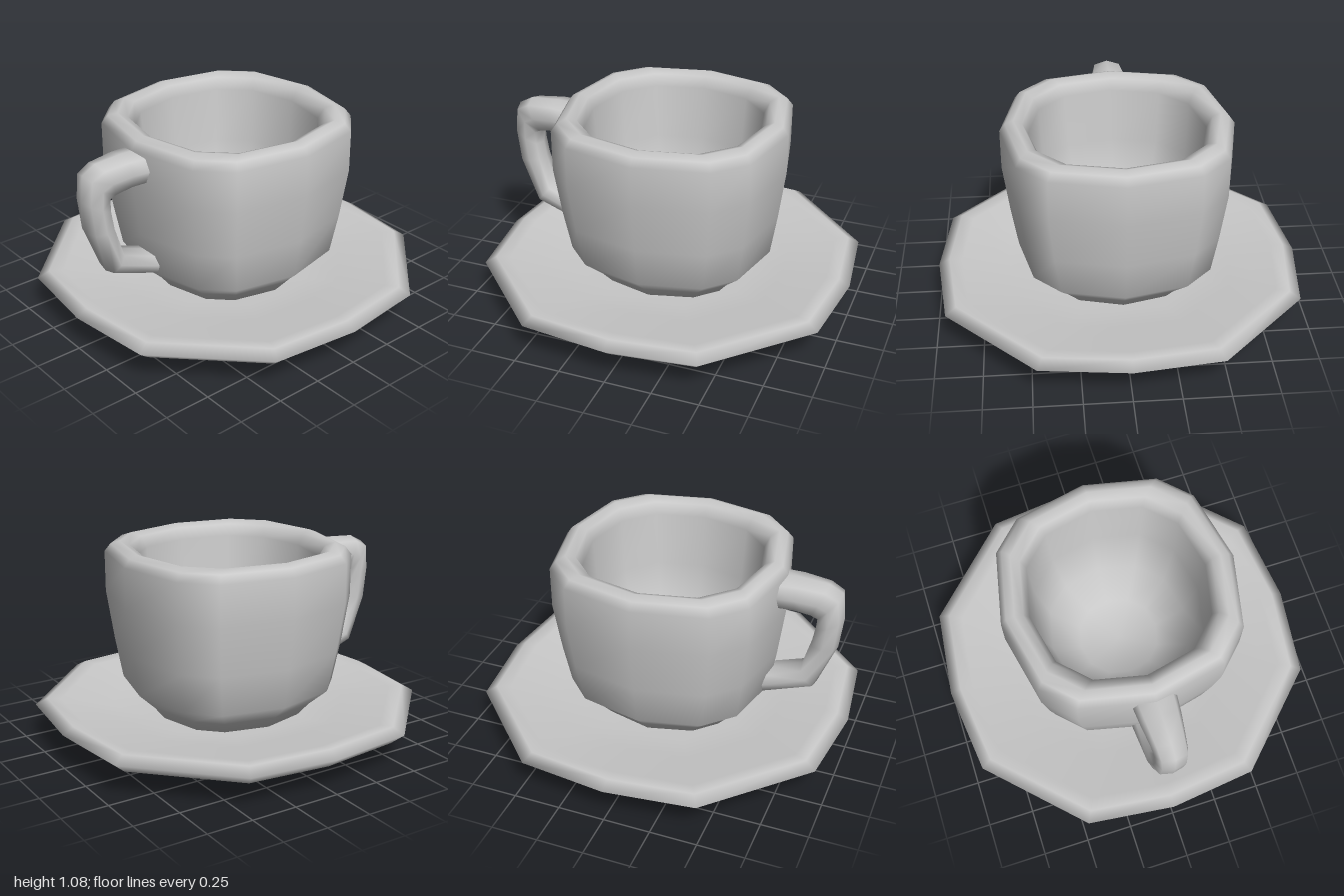
import * as THREE from 'three';
import { mergeVertices } from 'three/addons/utils/BufferGeometryUtils.js';

// Smooth skin over a list of closed rings, each an array of [x, y, z]
function loft(rings) {
  const n = rings[0].length, index = [];
  for (let i = 0; i < rings.length - 1; i++) {
    for (let j = 0; j < n; j++) {
      const a = i * n + j, b = i * n + (j + 1) % n;
      index.push(a, a + n, b, b, a + n, b + n);
    }
  }
  const geometry = new THREE.BufferGeometry();
  geometry.setAttribute('position', new THREE.Float32BufferAttribute(rings.flat(2), 3));
  geometry.setIndex(index);
  const merged = mergeVertices(geometry, 1e-4);
  merged.computeVertexNormals();
  return merged;
}

// Twelve-sided rounded square: one point on each axis, two at each corner
function ring(r, y, cornerAngle, cornerScale) {
  const points = [];
  for (let q = 0; q < 4; q++) {
    const start = q * Math.PI / 2;
    const corners = [[0, 1], [cornerAngle, cornerScale], [Math.PI / 2 - cornerAngle, cornerScale]];
    for (const [angle, k] of corners) {
      points.push([r * k * Math.cos(start + angle), y, r * k * Math.sin(start + angle)]);
    }
  }
  return points;
}

export function createModel() {
  const group = new THREE.Group();
  const ceramic = new THREE.MeshStandardMaterial({ color: 0xc8c8c8 });
  ceramic.name = 'grey ceramic';
  const add = (name, geometry) => {
    const mesh = new THREE.Mesh(geometry, ceramic);
    mesh.name = name;
    group.add(mesh);
  };

  // Saucer: underside, rim, then the shallow well
  const saucerProfile = [
    [0, 0.005], [0.69, 0.034], [0.93, 0.13], [1, 0.19], [0.94, 0.225],
    [0.87, 0.218], [0.62, 0.175], [0.45, 0.155], [0, 0.15],
  ];
  add('saucer', loft(saucerProfile.map(([r, y]) => ring(r, y, 0.464, 1.056))));

  // Cup: foot, outer wall, rounded lip, inner bowl
  const cupProfile = [
    [0, 0.14, 0.6, 1.03], [0.40, 0.15, 0.6, 1.03], [0.46, 0.225, 0.6, 1.04], [0.55, 0.31, 0.61, 1.05],
    [0.585, 0.53, 0.62, 1.06], [0.62, 0.8, 0.62, 1.066], [0.62, 1.02, 0.62, 1.066],
    [0.59, 1.062, 0.62, 1.064], [0.545, 1.08, 0.6, 1.055], [0.5, 1.06, 0.58, 1.045],
    [0.47, 1.0, 0.57, 1.04], [0.45, 0.7, 0.56, 1.04], [0.38, 0.43, 0.55, 1.03],
    [0.22, 0.31, 0.54, 1.02], [0, 0.28, 0.54, 1],
  ];
  add('cup', loft(cupProfile.map((p) => ring(...p))));

  // Handle stations from top to bottom: outer x, y, inner x, y, half width
  const handleStations = [
    [-0.55, 1.015, -0.55, 0.85, 0.12], [-0.69, 1.02, -0.68, 0.85, 0.108],
    [-0.84, 1.01, -0.76, 0.83, 0.092], [-0.915, 0.97, -0.79, 0.815, 0.086],
    [-0.93, 0.83, -0.785, 0.75, 0.082], [-0.91, 0.65, -0.77, 0.66, 0.082],
    [-0.81, 0.40, -0.725, 0.50, 0.085], [-0.54, 0.305, -0.55, 0.435, 0.095],
    [-0.48, 0.285, -0.48, 0.41, 0.095],
  ];
  // Boxy eight-sided section with flattened sides
  const soften = (v) => Math.sign(v) * Math.pow(Math.abs(v), 0.7);
  add('handle', loft(handleStations.map(([ox, oy, ix, iy, w]) =>
    Array.from({ length: 8 }, (_, j) => {
      const c = soften(Math.cos(j * Math.PI / 4)) / 2, s = soften(Math.sin(j * Math.PI / 4));
      return [(ox + ix) / 2 + (ox - ix) * c, (oy + iy) / 2 + (oy - iy) * c, w * s];
    }))));

  return group;
}
